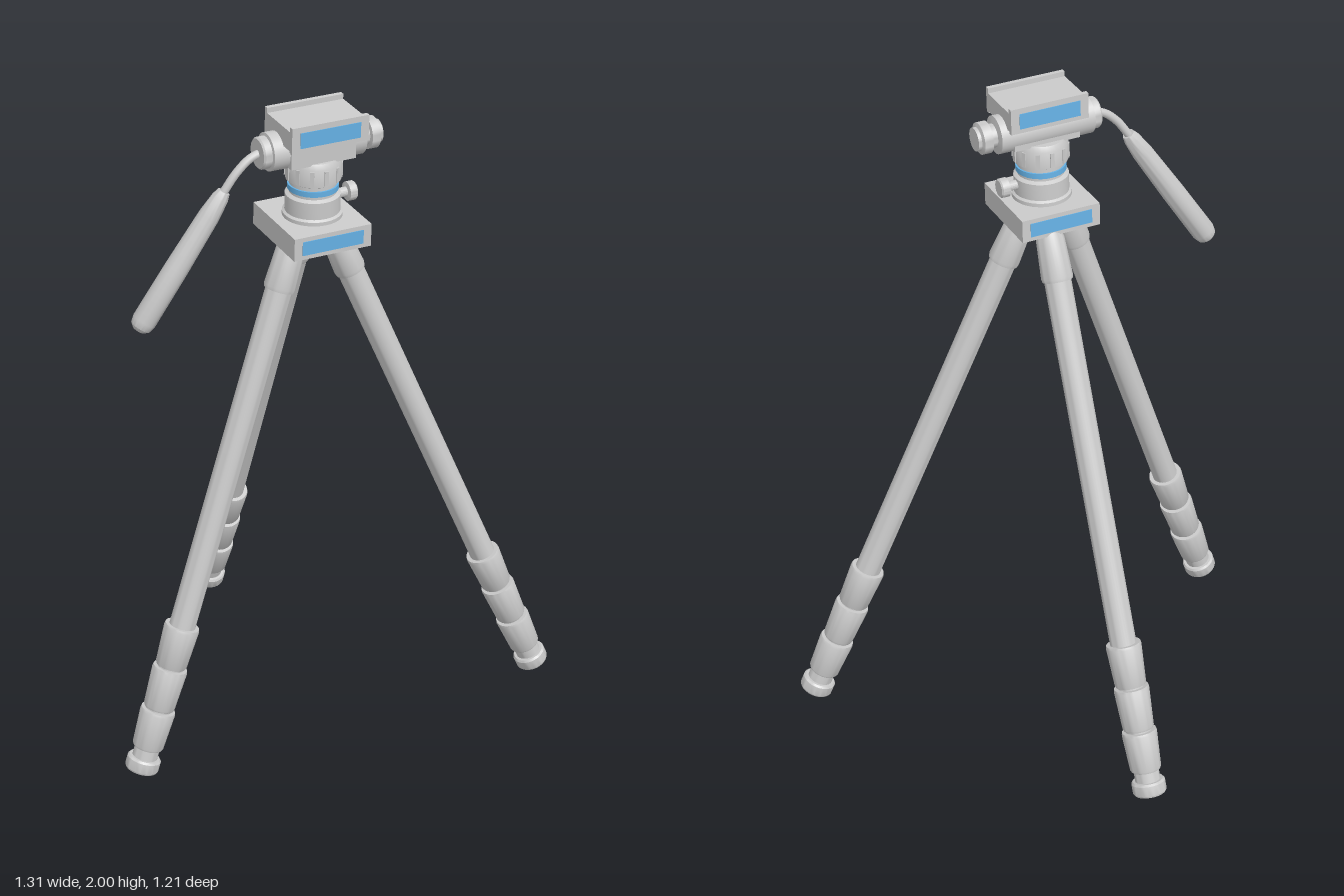
import * as THREE from 'three';
import { toCreasedNormals } from 'three/addons/utils/BufferGeometryUtils.js';

const grey = new THREE.MeshStandardMaterial({ color: 0xcccccc });
const blue = new THREE.MeshStandardMaterial({ color: 0x66b2e6 });

function add(parent, name, geometry, material = grey) {
  const mesh = new THREE.Mesh(geometry, material);
  mesh.name = name;
  parent.add(mesh);
  return mesh;
}

// Turned part from [radius, height] pairs, listed bottom to top
function turned(points, sides = 32) {
  const profile = points.map(([r, y]) => new THREE.Vector2(r, y));
  return toCreasedNormals(new THREE.LatheGeometry(profile, sides), 0.6);
}

function box(parent, name, size, pos, material) {
  const mesh = add(parent, name, new THREE.BoxGeometry(...size), material);
  mesh.position.set(...pos);
  return mesh;
}

// Group whose +y runs from one point towards another
function alongAxis(from, to) {
  const group = new THREE.Group();
  group.position.copy(from);
  const dir = to.clone().sub(from).normalize();
  group.quaternion.setFromUnitVectors(new THREE.Vector3(0, 1, 0), dir);
  return group;
}

function makeLeg(foot, top) {
  const leg = alongAxis(foot, top);
  const length = foot.distanceTo(top);
  leg.name = 'leg';
  add(leg, 'foot', turned([
    [0, 0], [0.047, 0], [0.051, 0.006], [0.051, 0.036], [0.046, 0.042],
    [0.038, 0.042], [0.038, 0.09], [0, 0.09],
  ]));
  // Three stacked locking sleeves, each a little wider at its top
  [[0.075, 0.2], [0.206, 0.338], [0.344, 0.475]].forEach(([a, b]) => {
    add(leg, 'lockSleeve', turned([
      [0, a], [0.044, a], [0.047, a + 0.006], [0.053, b - 0.008], [0.051, b], [0, b],
    ]));
  });
  add(leg, 'legTube', turned([[0, 0.08], [0.039, 0.08], [0.039, length - 0.1], [0, length - 0.1]]));
  add(leg, 'legSocket', turned([
    [0, length - 0.15], [0.044, length - 0.15], [0.046, length - 0.14],
    [0.041, length - 0.03], [0.034, length], [0, length],
  ]));
  return leg;
}

function makeHead() {
  const head = new THREE.Group();
  head.name = 'head';
  head.position.set(-0.012, 1.645, 0.132);
  head.rotation.set(0.042, -0.46, 0, 'YXZ');

  // Base platform with coloured end panels
  box(head, 'basePlatform', [0.24, 0.068, 0.26], [0, 0, 0]);
  for (const s of [-1, 1]) {
    box(head, 'basePanel', [0.19, 0.042, 0.006], [0, 0, s * 0.129], blue);
  }

  // Panning column
  add(head, 'panColumn', turned([
    [0, 0.03], [0.086, 0.03], [0.086, 0.045], [0.079, 0.05], [0.079, 0.1],
    [0.068, 0.106], [0.068, 0.142], [0.079, 0.148], [0.079, 0.2], [0.07, 0.215], [0, 0.215],
  ]));
  add(head, 'columnRing', turned([[0.06, 0.116], [0.073, 0.116], [0.073, 0.132], [0.06, 0.132]]), blue);
  for (let i = 0; i < 12; i++) {
    const a = (i * Math.PI) / 6;
    const rib = box(head, 'collarRib', [0.012, 0.044, 0.006],
      [0.079 * Math.sin(a), 0.174, 0.079 * Math.cos(a)]);
    rib.rotation.y = a;
  }

  // Pan lock knob
  const panKnob = add(head, 'panKnob', turned([
    [0, 0], [0.014, 0], [0.014, 0.035], [0.028, 0.037], [0.028, 0.058], [0.024, 0.062], [0, 0.062],
  ], 20));
  panKnob.rotation.z = -Math.PI / 2;
  panKnob.position.set(0.07, 0.08, 0);

  // Tilt barrel with its end cap and knob
  const barrel = add(head, 'tiltBarrel', turned([
    [0, -0.175], [0.042, -0.175], [0.046, -0.17], [0.046, -0.15], [0.055, -0.148],
    [0.055, 0.138], [0.034, 0.142], [0.034, 0.158], [0.046, 0.16], [0.046, 0.186],
    [0.034, 0.19], [0.034, 0.2], [0, 0.2],
  ]));
  barrel.rotation.z = -Math.PI / 2;
  barrel.position.y = 0.25;
  box(head, 'tiltBody', [0.2, 0.08, 0.11], [0, 0.25, 0.005]);

  // Camera plate with raised lips and coloured end panels
  const plate = new THREE.Group();
  plate.name = 'cameraPlate';
  plate.position.set(0, 0.31, 0.012);
  head.add(plate);
  box(plate, 'plateBody', [0.236, 0.056, 0.156], [0, -0.001, 0]);
  for (const s of [-1, 1]) {
    box(plate, 'plateLip', [0.236, 0.076, 0.014], [0, 0.004, s * 0.077]);
    box(plate, 'platePanel', [0.185, 0.046, 0.006], [0, 0.002, s * 0.083], blue);
  }
  return head;
}

function makeHandle() {
  const handle = new THREE.Group();
  handle.name = 'panHandle';
  const top = new THREE.Vector3(-0.262, 1.8, 0.016);
  const end = new THREE.Vector3(-0.468, 1.41, -0.132);
  const curve = new THREE.CatmullRomCurve3([
    new THREE.Vector3(-0.15, 1.9, 0.075),
    new THREE.Vector3(-0.195, 1.885, 0.055),
    new THREE.Vector3(-0.232, 1.85, 0.036),
    top,
    top.clone().lerp(end, 0.1),
  ]);
  add(handle, 'handleRod', new THREE.TubeGeometry(curve, 24, 0.012, 12));
  const grip = alongAxis(top, end);
  const length = top.distanceTo(end);
  add(grip, 'handleGrip', turned([
    [0, 0], [0.018, 0], [0.024, 0.02], [0.03, 0.08], [0.034, length * 0.55],
    [0.035, length - 0.035], [0.03, length - 0.014], [0.018, length - 0.003], [0, length],
  ]));
  handle.add(grip);
  return handle;
}

export function createModel() {
  const model = new THREE.Group();
  model.name = 'tripod';

  // Foot and top point of each leg
  [
    [[-0.612, 0.035, -0.044], [-0.083, 1.62, 0.12]],
    [[0.352, 0.035, -0.557], [0.052, 1.62, 0.058]],
    [[0.607, 0.018, 0.56], [0.045, 1.62, 0.157]],
  ].forEach(([foot, top]) => {
    model.add(makeLeg(new THREE.Vector3(...foot), new THREE.Vector3(...top)));
  });

  model.add(makeHead(), makeHandle());
  return model;
}
